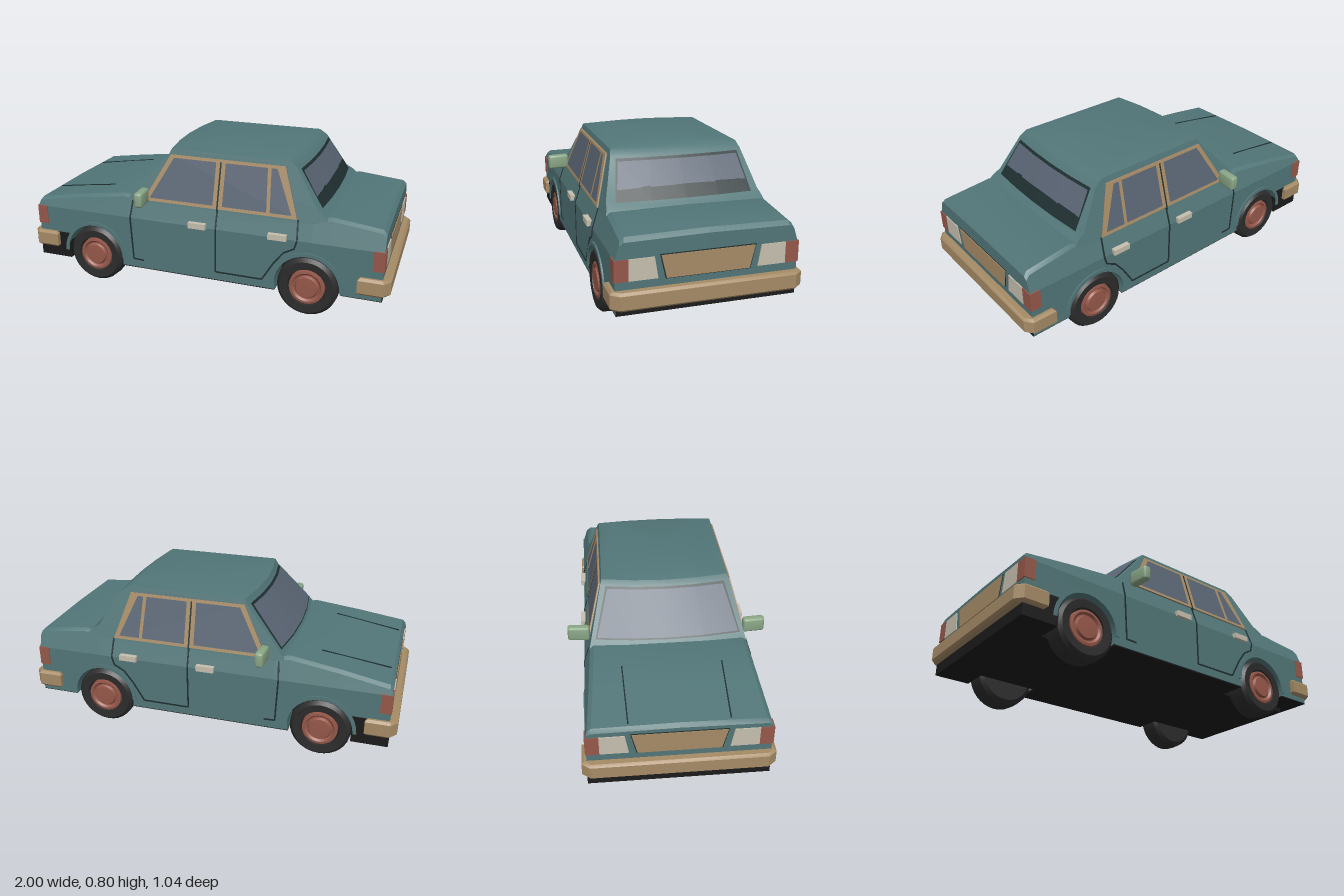
import * as THREE from 'three';
import { toCreasedNormals } from 'three/addons/utils/BufferGeometryUtils.js';
import { RoundedBoxGeometry } from 'three/addons/geometries/RoundedBoxGeometry.js';

const mat = (name, color) => {
  const m = new THREE.MeshStandardMaterial({ color });
  m.name = name;
  return m;
};

// Half-width of the car's flank at height y
function sideZ(y) {
  if (y <= 0.41) return 0.44;
  if (y <= 0.5) return 0.44 - (y - 0.41) / 3;
  return 0.41 - (y - 0.5) * 0.281;
}

// Surface through rows of [x, y, z] points
function loft(rows, closed = false) {
  const pos = [];
  const n = rows[0].length;
  for (let i = 0; i < rows.length - 1; i++) {
    for (let j = 0; j < (closed ? n : n - 1); j++) {
      const k = (j + 1) % n;
      const a = rows[i][j], b = rows[i + 1][j], c = rows[i + 1][k], d = rows[i][k];
      pos.push(...a, ...b, ...c, ...a, ...c, ...d);
    }
  }
  const g = new THREE.BufferGeometry();
  g.setAttribute('position', new THREE.Float32BufferAttribute(pos, 3));
  return g;
}

// Mirrored copy across x or z, keeping faces outward
function mirror(geo, axis) {
  const g = geo.index ? geo.toNonIndexed() : geo.clone();
  g.scale(axis === 'x' ? -1 : 1, 1, axis === 'z' ? -1 : 1);
  const p = g.attributes.position;
  for (let i = 0; i < p.count; i += 3) {
    const b = [p.getX(i + 1), p.getY(i + 1), p.getZ(i + 1)];
    p.setXYZ(i + 1, p.getX(i + 2), p.getY(i + 2), p.getZ(i + 2));
    p.setXYZ(i + 2, ...b);
  }
  return g;
}

const shapeOf = (pts) => new THREE.Shape(pts.map(([x, y]) => new THREE.Vector2(x, y)));
const extrude = (shape, depth) => new THREE.ExtrudeGeometry(shape, { depth, bevelEnabled: false });
const box = (x0, x1, y0, y1, z0, z1) =>
  new THREE.BoxGeometry(x1 - x0, y1 - y0, z1 - z0).translate((x0 + x1) / 2, (y0 + y1) / 2, (z0 + z1) / 2);

// Thin plate lying on the sloping flank
function sidePlate(pts, thick, holes = []) {
  const s = shapeOf(pts);
  holes.forEach((h) => s.holes.push(shapeOf(h)));
  const g = extrude(s, thick);
  const p = g.attributes.position;
  for (let i = 0; i < p.count; i++) p.setZ(i, p.getZ(i) + sideZ(p.getY(i)));
  return g;
}

// Cabin outline by height: [y, front x, rear x, half-width]
const CABIN = [
  [0.5, -0.455, 0.71], [0.545, -0.42, 0.67], [0.57, -0.4, 0.63],
  [0.755, -0.235, 0.515], [0.785, -0.22, 0.475], [0.798, -0.17, 0.44, 0.25],
].map(([y, f, r, w]) => [y, f, r, w ?? sideZ(y)]);
const STEPS = [1, 0.5, 0, -0.5, -1];

function cabinX(y, end) {
  let i = 0;
  while (i < CABIN.length - 2 && CABIN[i + 1][0] < y) i++;
  const a = CABIN[i], b = CABIN[i + 1];
  return THREE.MathUtils.lerp(a[end], b[end], (y - a[0]) / (b[0] - a[0]));
}

// Curved pane on the front (end 1) or rear (end 2) of the cabin
function screen(end, y0, w0, y1, w1, lift) {
  const dir = end === 1 ? 1 : -1;
  const rows = [[y0, w0], [y1, w1]].map(([y, w]) => STEPS.map((t) => {
    const bow = (end === 1 ? 0.035 : 0.02) * (t * w / sideZ(y)) ** 2;
    return [cabinX(y, end) + dir * (bow - lift), y + lift * 0.5, t * w * dir];
  }));
  return loft(rows);
}

export function createModel() {
  const car = new THREE.Group();
  car.name = 'car';
  const paint = mat('teal paint', 0x527678);
  const glass = mat('grey glass', 0x596473);
  const tan = mat('tan trim', 0xa68b66);
  const red = mat('rust red', 0x96584a);
  const cream = mat('cream', 0xc6bfae);
  const green = mat('pale green', 0x8aa686);
  const black = mat('black underside', 0x1b1b1b);
  const rubber = mat('rubber', 0x2c2c2d);
  const seam = mat('dark seam', 0x1f2f31);

  const add = (name, geo, m) => {
    const mesh = new THREE.Mesh(toCreasedNormals(geo, 0.5), m);
    mesh.name = name;
    car.add(mesh);
  };
  const addSides = (name, geo, m) => {
    const other = mirror(geo, 'z');
    add(name + 'Left', geo, m);
    add(name + 'Right', other, m);
  };
  const addEnds = (name, geo, m, both) => {
    const other = mirror(geo, 'x');
    (both ? addSides : add)(name + 'Rear', geo, m);
    (both ? addSides : add)(name + 'Front', other, m);
  };

  // Lower body with wheel arches
  const WHEELS = [-0.615, 0.585];
  const arch = (cx, r, a0, a1) => Array.from({ length: 17 }, (_, i) => {
    const a = a0 + (a1 - a0) * i / 16;
    return [cx + r * Math.cos(a), 0.165 + r * Math.sin(a)];
  });
  const outline = [
    [-0.96, 0.2], ...arch(WHEELS[0], 0.17, Math.PI - 0.21, -0.24),
    ...arch(WHEELS[1], 0.17, Math.PI + 0.24, -0.09),
    [0.96, 0.15], [0.96, 0.41], [-0.96, 0.41],
  ];
  add('lowerBody', extrude(shapeOf(outline), 0.88).translate(0, 0, -0.44), paint);

  // Bonnet, shoulders and boot
  const deck = [
    [-0.96, 0.435], [-0.945, 0.455], [-0.7, 0.495], [-0.44, 0.53], [-0.36, 0.515],
    [0.6, 0.515], [0.69, 0.538], [0.94, 0.51], [0.96, 0.49],
  ].map(([x, y]) => {
    const e = sideZ(y - 0.015);
    return [[0.41, 0.44], [y - 0.015, e], [y, e - 0.02], [y + 0.006, 0],
      [y, 0.02 - e], [y - 0.015, -e], [0.41, -0.44]].map(([h, z]) => [x, h, z]);
  });
  const drop = (row) => row.map(([x, , z]) => [x, 0.4, z]);
  add('upperBody', loft([drop(deck[0]), ...deck, drop(deck[deck.length - 1])]), paint);

  // Cabin and roof
  const rings = CABIN.map(([y, f, r, w]) => [
    ...STEPS.map((t) => [f + 0.035 * t * t, y, t * w]),
    ...STEPS.map((t) => [r - 0.02 * t * t, y, -t * w]),
  ]);
  rings.push(rings[0].map(() => [0.13, 0.803, 0]));
  add('cabin', loft(rings, true), paint);

  // Front and rear screens with dark seals
  add('windscreenSeal', screen(1, 0.548, 0.375, 0.755, 0.31, 0.003), seam);
  add('windscreen', screen(1, 0.555, 0.365, 0.745, 0.302, 0.006), glass);
  add('rearScreenSeal', screen(2, 0.562, 0.348, 0.745, 0.315, 0.003), seam);
  add('rearScreen', screen(2, 0.568, 0.34, 0.732, 0.307, 0.006), glass);

  // Side windows
  const frame = [[-0.32, 0.512], [-0.185, 0.757], [0.435, 0.757], [0.518, 0.512]];
  addSides('sideGlass', sidePlate(frame, 0.003), glass);
  addSides('windowFrame', sidePlate(frame, 0.009, [
    [[-0.285, 0.528], [-0.165, 0.743], [0.07, 0.743], [0.07, 0.528]],
    [[0.122, 0.528], [0.122, 0.743], [0.345, 0.743], [0.358, 0.528]],
    [[0.376, 0.528], [0.364, 0.743], [0.395, 0.743], [0.488, 0.528]],
  ]), tan);

  // Door seams
  const seams = [
    [[-0.385, 0.5], [-0.392, 0.41], [-0.38, 0.172], [-0.32, 0.17]],
    [[0.096, 0.745], [0.096, 0.5], [0.096, 0.41], [0.096, 0.17], [0.35, 0.17], [0.41, 0.27],
      [0.46, 0.335], [0.515, 0.365], [0.528, 0.41], [0.522, 0.51]],
  ];
  for (const path of seams) {
    for (let i = 0; i < path.length - 1; i++) {
      const [[x0, y0], [x1, y1]] = [path[i], path[i + 1]];
      const k = 0.004 / Math.hypot(x1 - x0, y1 - y0);
      const nx = -(y1 - y0) * k, ny = (x1 - x0) * k;
      addSides('doorSeam', sidePlate([[x0 + nx, y0 + ny], [x0 - nx, y0 - ny],
        [x1 - nx, y1 - ny], [x1 + nx, y1 + ny]], y0 > 0.6 ? 0.0099 : 0.003), seam);
    }
  }
  // Bonnet creases
  addSides('bonnetCrease', new THREE.BoxGeometry(0.36, 0.005, 0.006).rotateZ(0.15)
    .rotateY(-0.03).translate(-0.755, 0.489, 0.245), seam);

  // Door handles and mirrors
  for (const x of [-0.003, 0.428]) addSides('doorHandle', box(x - 0.048, x + 0.048, 0.404, 0.434, 0.43, 0.458), cream);
  addSides('mirror', new RoundedBoxGeometry(0.045, 0.08, 0.115, 2, 0.014)
    .rotateY(0.08).translate(-0.308, 0.542, 0.461), green);

  // Lamps and centre panel at both ends
  const endPlate = (pts) => extrude(shapeOf(pts), 0.008).rotateY(Math.PI / 2).translate(0.957, 0, 0);
  addEnds('cornerLamp', box(0.907, 0.965, 0.308, 0.412, 0.378, 0.445), red, true);
  addEnds('lamp', endPlate([[-0.378, 0.308], [-0.24, 0.308], [-0.257, 0.412], [-0.378, 0.412]]), cream, true);
  addEnds('centreSeal', extrude(shapeOf([[-0.205, 0.3], [0.205, 0.3], [0.232, 0.42], [-0.232, 0.42]]), 0.004)
    .rotateY(Math.PI / 2).translate(0.957, 0, 0), seam);
  addEnds('centrePanel', endPlate([[-0.2, 0.304], [0.2, 0.304], [0.226, 0.415], [-0.226, 0.415]]), tan);

  // Wraparound bumpers
  const bumper = new THREE.ExtrudeGeometry(shapeOf([[0.852, -0.453], [0.962, -0.453], [0.988, -0.42],
    [0.988, 0.42], [0.962, 0.453], [0.852, 0.453]]),
  { depth: 0.066, bevelSize: 0.012, bevelThickness: 0.012, bevelSegments: 1 })
    .rotateX(-Math.PI / 2).translate(0, 0.19, 0);
  addEnds('bumper', bumper, tan);

  // Underside
  add('frontValance', box(-0.963, -0.775, 0.118, 0.265, -0.442, 0.442), black);
  add('rearValance', box(0.76, 0.963, 0.146, 0.18, -0.438, 0.438), black);
  add('innerFloor', box(-0.94, 0.9, 0.12, 0.38, -0.3, 0.3), black);
  add('sillFloor', box(-0.45, 0.418, 0.119, 0.128, -0.437, 0.437), black);

  // Wheels and arch lips
  const lathe = (pts) => new THREE.LatheGeometry(pts.map(([r, h]) => new THREE.Vector2(r, h)), 32).rotateX(Math.PI / 2);
  for (const x of WHEELS) {
    addSides('tire', lathe([[0, -0.067], [0.135, -0.067], [0.155, -0.05], [0.16, 0], [0.157, 0.048],
      [0.14, 0.067], [0.1, 0.064], [0.095, 0.04], [0, 0.04]]).translate(x, 0.162, 0.378), rubber);
    addSides('hub', lathe([[0.094, 0.035], [0.091, 0.062], [0.078, 0.064], [0.068, 0.054], [0.062, 0.054],
      [0.055, 0.066], [0, 0.068]]).translate(x, 0.162, 0.378), red);
    const lip = [...arch(x, 0.188, 0, Math.PI), ...arch(x, 0.169, Math.PI, 0)];
    addSides('archLip', extrude(shapeOf(lip), 0.018).translate(0, 0, 0.43), paint);
  }
  return car;
}
